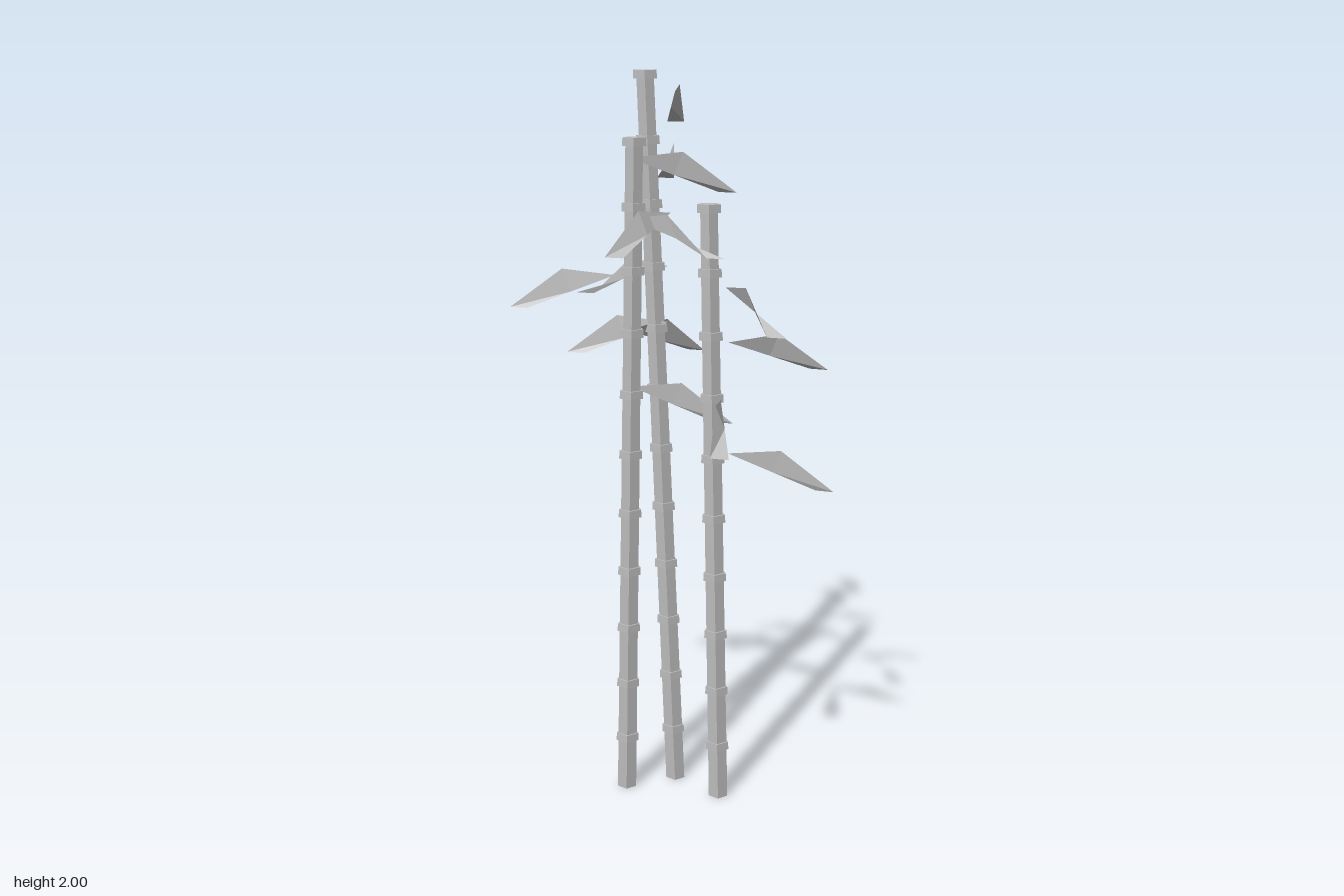
import * as THREE from 'three';

const STEP = 2 / 12; // distance between cane joints

// Pentagonal section whose vertices follow the cane's sideways lean
function caneSection(r0, r1, y0, y1, cane, mat, name) {
  const geo = new THREE.CylinderGeometry(r1, r0, y1 - y0, 5, 1, false, Math.PI / 2);
  geo.translate(0, (y0 + y1) / 2, 0);
  const p = geo.attributes.position;
  for (let i = 0; i < p.count; i++) {
    const t = p.getY(i) / (cane.joints * STEP);
    p.setX(i, p.getX(i) + THREE.MathUtils.lerp(cane.x, cane.topX, t));
    p.setZ(i, p.getZ(i) + cane.z);
  }
  geo.computeVertexNormals();
  const mesh = new THREE.Mesh(geo, mat);
  mesh.name = name;
  return mesh;
}

// Drooping blade: pointed base, tall middle, blunt tip
function leaf(cane, y, tipX, tipZ, mat) {
  const dir = new THREE.Vector2(tipX - cane.x, tipZ - cane.z).normalize();
  const bx = cane.x + dir.x * 0.02, bz = cane.z + dir.y * 0.02;
  const mx = (bx + tipX) / 2, mz = (bz + tipZ) / 2;
  const s = dir.y > 0 ? -1 : 1;
  const geo = new THREE.BufferGeometry();
  geo.setAttribute('position', new THREE.Float32BufferAttribute([
    bx, y, bz,
    mx + s * 0.0125, y + 0.015, mz,
    mx - s * 0.0125, y - 0.045, mz,
    tipX + s * 0.025, y - 0.09, tipZ,
    tipX - s * 0.025, y - 0.09, tipZ,
  ], 3));
  geo.setIndex([0, 1, 2, 1, 3, 2, 2, 3, 4]);
  const flat = geo.toNonIndexed();
  flat.computeVertexNormals();
  const mesh = new THREE.Mesh(flat, mat);
  mesh.name = 'leaf';
  return mesh;
}

export function createModel() {
  const root = new THREE.Group();
  root.name = 'bambooClump';
  const caneGrey = new THREE.MeshStandardMaterial({ color: 0xbcbcbc, flatShading: true, side: THREE.DoubleSide });
  caneGrey.name = 'cane grey';

  // Leaves are [height, tip x, tip z]
  const canes = [
    { name: 'tallCane', x: -0.025, topX: -0.108, z: -0.035, joints: 12, leaves: [
      [1.945, -0.12, -0.3], [1.79, -0.147, -0.29], [1.635, -0.09, 0.235],
      [1.49, -0.3, -0.065], [1.34, -0.292, 0.025]] },
    { name: 'middleCane', x: -0.137, topX: -0.1, z: 0.063, joints: 11, leaves: [
      [1.78, 0.118, -0.045], [1.625, 0.133, 0.095], [1.475, -0.407, 0.135],
      [1.325, -0.02, -0.192], [1.175, 0.133, 0.015]] },
    { name: 'shortCane', x: 0.128, topX: 0.092, z: 0.03, joints: 10, leaves: [
      [1.455, 0.335, 0.22], [1.305, 0.348, -0.145], [1.155, 0.215, 0.3],
      [1.005, 0.407, -0.01]] },
  ];

  for (const cane of canes) {
    const group = new THREE.Group();
    group.name = cane.name;
    const height = cane.joints * STEP;
    group.add(caneSection(0.0276, 0.024, 0, height - 0.005, cane, caneGrey, 'stalk'));
    // Raised joint rings
    for (let i = 1; i <= cane.joints; i++) {
      group.add(caneSection(0.033, 0.032, i * STEP - 0.022, i * STEP, cane, caneGrey, 'jointRing'));
    }
    for (const [y, tx, tz] of cane.leaves) group.add(leaf(cane, y, tx, tz, caneGrey));
    root.add(group);
  }
  return root;
}
